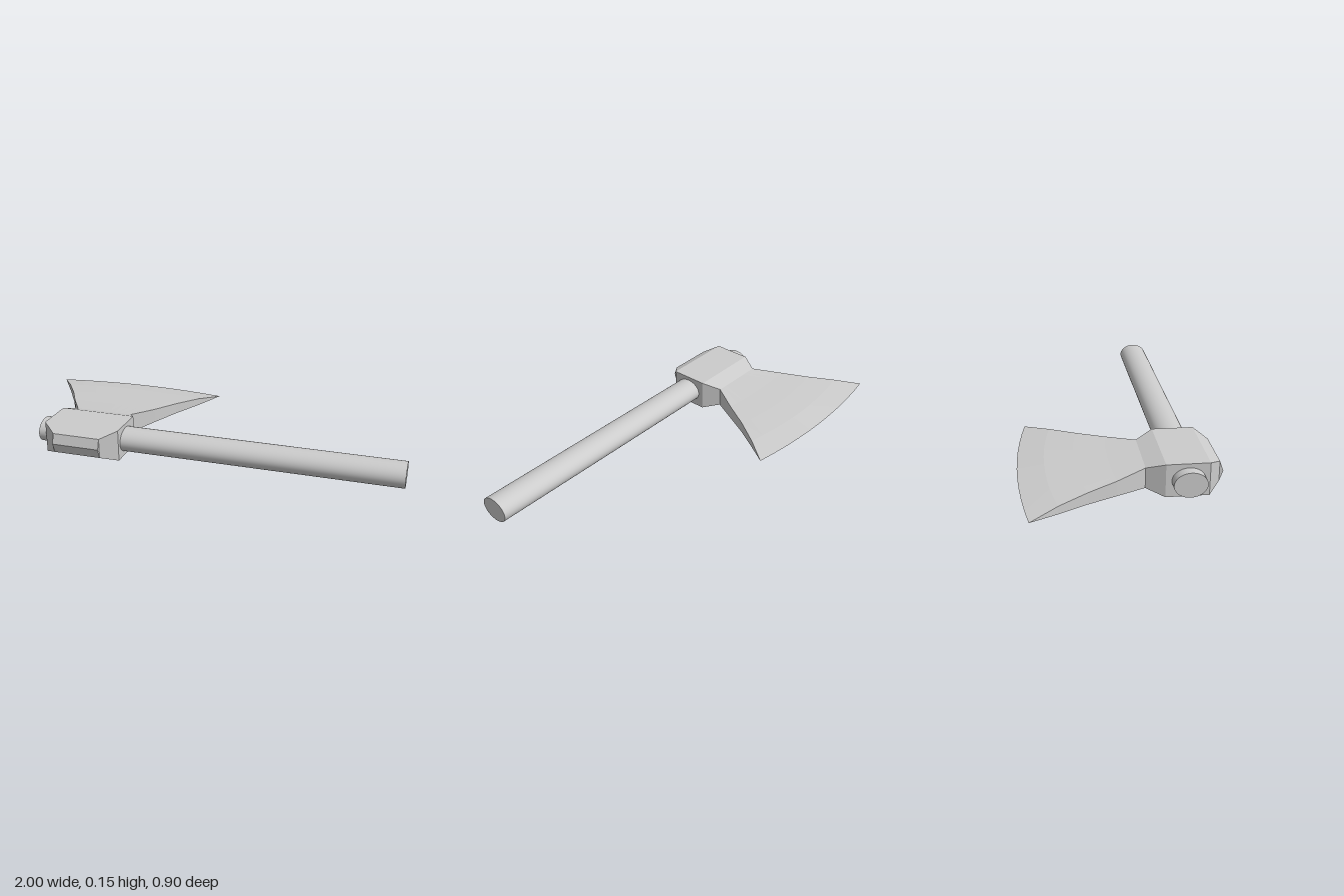
import * as THREE from 'three';

const MID_Y = 0.077;

// Lofts closed cross-sections from front (+z) to back (-z).
// Each section: [z at middle, z at sides, centre x, half width, half thickness]
function loft(sections, columns) {
  const rings = sections.map(([zMid, zSide, cx, hw, hh]) => {
    const point = (t, side) => [cx + t * hw, MID_Y + side * hh, zMid + (zSide - zMid) * t * t];
    const ring = [];
    for (let i = 0; i <= columns; i++) ring.push(point(-1 + 2 * i / columns, 1));
    for (let i = columns; i >= 0; i--) ring.push(point(-1 + 2 * i / columns, -1));
    return ring;
  });
  const positions = [];
  for (let r = 0; r < rings.length - 1; r++) {
    const n = rings[r].length;
    for (let i = 0; i < n; i++) {
      const j = (i + 1) % n;
      const a = rings[r][i], b = rings[r][j], c = rings[r + 1][i], d = rings[r + 1][j];
      positions.push(...a, ...b, ...c, ...b, ...d, ...c);
    }
  }
  const geometry = new THREE.BufferGeometry();
  geometry.setAttribute('position', new THREE.Float32BufferAttribute(positions, 3));
  geometry.computeVertexNormals();
  return geometry;
}

export function createModel() {
  const group = new THREE.Group();
  group.name = 'axe';
  const flat = new THREE.MeshStandardMaterial({ color: 0xcccccc, flatShading: true });
  const smooth = new THREE.MeshStandardMaterial({ color: 0xcccccc });
  const add = (name, geometry, material) => {
    const mesh = new THREE.Mesh(geometry, material);
    mesh.name = name;
    group.add(mesh);
    return mesh;
  };

  // Oval handle running along x through the head
  const handleGeometry = new THREE.CylinderGeometry(1, 1, 1.765, 48);
  handleGeometry.scale(0.058, 1, 0.074).rotateZ(-Math.PI / 2);
  add('handle', handleGeometry, smooth).position.set(0.1175, MID_Y, 0.28);

  // Chamfered block with a ridged butt, tapering to the neck
  add('head', loft([
    [0.447, 0.447, -0.527, 0.118, 0],
    [0.43, 0.43, -0.527, 0.118, 0.048],
    [0.373, 0.373, -0.525, 0.19, 0.077],
    [0.18, 0.18, -0.525, 0.19, 0.077],
    [0.098, 0.098, -0.53, 0.146, 0.048],
  ], 1), flat);

  // Flared blade narrowing to a curved cutting edge
  add('blade', loft([
    [0.098, 0.098, -0.53, 0.146, 0.048],
    [-0.05, -0.035, -0.532, 0.227, 0.035],
    [-0.2, -0.165, -0.532, 0.3, 0.027],
    [-0.33, -0.29, -0.532, 0.382, 0.018],
    [-0.45, -0.408, -0.532, 0.468, 0],
  ], 10), flat);

  return group;
}
